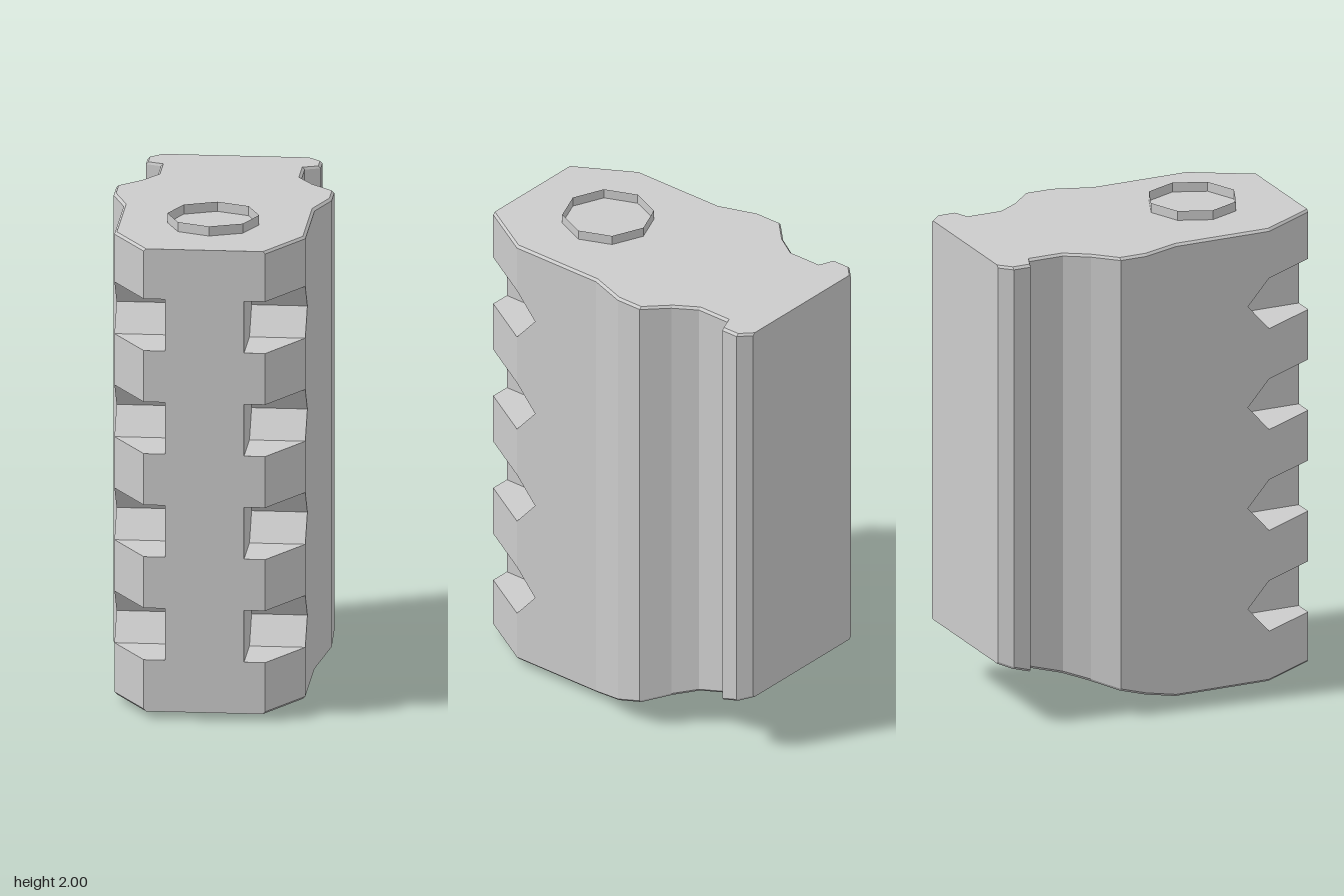
import * as THREE from 'three';

const material = new THREE.MeshStandardMaterial({ color: 0xcccccc, flatShading: true });
const openMaterial = new THREE.MeshStandardMaterial({ color: 0xcccccc, flatShading: true, side: THREE.DoubleSide });

const FRONT = 0.707, SIDE = 0.385, SHOULDER = 0.465, LUG = 0.16;
const BORE_Z = 0.31, BORE_R = 0.185, FLANGE_R = 0.267;
const TOP = 1.96, BOTTOM = 0.03, BEVEL = 0.01;

// half outline behind the front corners, [x, z] from front to back
const flank = [
  [SIDE, 0.05], [0.44, -0.11], [0.44, -0.225], [0.35, -0.315], [0.29, -0.41],
  [0.29, -0.56], [0.353, -0.585], [0.353, -0.66], [0.305, -FRONT],
];
const plainCorner = [[LUG, FRONT], [LUG, FRONT], [0.245, FRONT], [SIDE, SHOULDER]];
const notchCorner = (z) => [[LUG, FRONT], [LUG, z], [SIDE, z], [SIDE, z]];
const FLAT_END = plainCorner.length; // index where the underside starts to rise

const underside = (z) => BOTTOM + Math.max(0, 0.05 - z) * 0.304;

// closed horizontal section: right half front to back, then the mirrored half
function section(corner, heightAt, inset = 0) {
  const right = [...corner, ...flank].map(([x, z]) =>
    [x > 0.2 ? x - inset : x, heightAt(z), z]);
  return [...right, ...right.map(([x, y, z]) => [-x, y, z]).reverse()];
}

function bodyGeometry() {
  const level = (y) => (z) => Math.max(y, underside(z) + BEVEL);
  const rings = [
    section(plainCorner, underside, BEVEL),
    section(plainCorner, level(0)),
  ];
  // four V-bottomed notches cut into both front corners
  for (let k = 0; k < 4; k++) {
    const y = 0.353 + 0.43 * k, h = 0.108;
    rings.push(
      section(plainCorner, level(y - h)),
      section(notchCorner(SHOULDER), level(y - h)),
      section(notchCorner(0.37), level(y)),
      section(notchCorner(SHOULDER), level(y + h)),
      section(plainCorner, level(y + h)),
    );
  }
  rings.push(section(plainCorner, () => TOP - BEVEL), section(plainCorner, () => TOP, BEVEL));

  const positions = [];
  const quad = (a, b, c, d) => positions.push(...a, ...b, ...c, ...a, ...c, ...d);
  const n = rings[0].length;
  for (let r = 0; r < rings.length - 1; r++) {
    const low = rings[r], high = rings[r + 1];
    for (let i = 0; i < n; i++) {
      const j = (i + 1) % n;
      quad(low[i], low[j], high[j], high[i]);
    }
  }
  // top face and sloping underside as strips between the two halves
  const base = rings[0], top = rings[rings.length - 1];
  for (let i = 0; i < n / 2 - 1; i++) {
    const l = n - 1 - i;
    quad(top[l], top[i], top[i + 1], top[l - 1]);
    if (i >= FLAT_END) quad(base[l], base[l - 1], base[i + 1], base[i]);
  }
  const geometry = new THREE.BufferGeometry();
  geometry.setAttribute('position', new THREE.Float32BufferAttribute(positions, 3));
  geometry.computeVertexNormals();
  return geometry;
}

function octagon(radius, centre) {
  return Array.from({ length: 8 }, (_, i) => new THREE.Vector2(
    radius * Math.sin(i * Math.PI / 4), centre + radius * Math.cos(i * Math.PI / 4)));
}

// downward-facing plate with an octagonal hole
function plate(points, centre) {
  const shape = new THREE.Shape(points);
  shape.holes.push(new THREE.Path(octagon(BORE_R, centre)));
  return new THREE.ShapeGeometry(shape).rotateX(Math.PI / 2);
}

function tube(radius, y0, y1) {
  return new THREE.CylinderGeometry(radius, radius, y1 - y0, 8, 1, true)
    .translate(0, (y0 + y1) / 2, BORE_Z);
}

export function createModel() {
  const group = new THREE.Group();
  const add = (name, geometry, mat = material) => {
    const mesh = new THREE.Mesh(geometry, mat);
    mesh.name = name;
    group.add(mesh);
    return mesh;
  };

  add('notchedBody', bodyGeometry());

  // level front part of the underside, pierced by the bore
  const half = [...plainCorner.slice(2), flank[0]].map(([x, z]) => [x - BEVEL, z]);
  const floor = [...half, ...half.map(([x, z]) => [-x, z]).reverse()]
    .map(([x, z]) => new THREE.Vector2(x, z));
  add('bodyFloor', plate(floor, BORE_Z)).position.y = BOTTOM;

  // collar around the opening underneath
  add('bottomCollarWall', tube(FLANGE_R, 0, BOTTOM));
  add('bottomCollarFace', plate(octagon(FLANGE_R, BORE_Z), BORE_Z));

  // bore lining, standing proud of the top as a thin rim
  add('boreTube', tube(BORE_R, 0, 2), openMaterial);

  return group;
}
